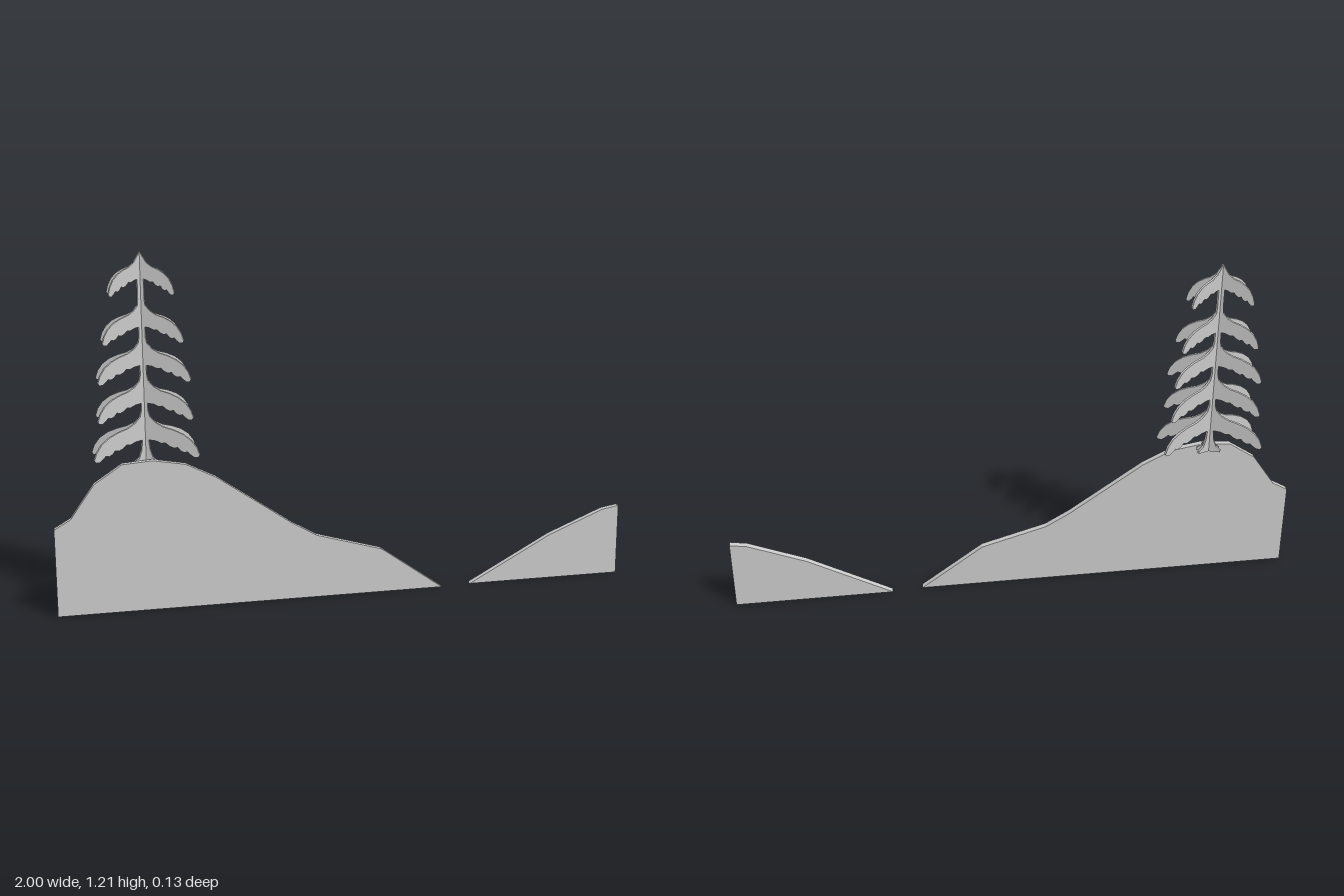
import * as THREE from 'three';

const material = new THREE.MeshStandardMaterial({ color: 0xcccccc, flatShading: true });

// Flat cut-out panel between two z planes
function panel(name, points, z0, z1) {
  const shape = new THREE.Shape(points.map(([x, y]) => new THREE.Vector2(x, y)));
  const geometry = new THREE.ExtrudeGeometry(shape, { depth: z1 - z0, bevelEnabled: false });
  geometry.translate(0, 0, z0);
  const mesh = new THREE.Mesh(geometry, material);
  mesh.name = name;
  return mesh;
}

// Drooping bough with a scalloped underside: x as fraction of reach, y as fraction of drop
const bough = [
  [0.1, -0.14], [0.2, -0.26], [0.34, -0.35], [0.52, -0.41], [0.7, -0.5], [0.85, -0.63],
  [0.95, -0.79], [1, -0.95], [0.97, -1], [0.9, -1], [0.83, -0.94], [0.78, -0.88],
  [0.72, -0.9], [0.65, -0.86], [0.6, -0.79], [0.53, -0.81], [0.45, -0.77], [0.38, -0.7],
  [0.3, -0.71], [0.2, -0.66],
];

// Tiers from the top: [top y, tip y, reach along the blade]
const tiers = [
  [1.21, 1.07, 0.113],
  [1.055, 0.913, 0.14],
  [0.93, 0.785, 0.161],
  [0.805, 0.657, 0.166],
  [0.685, 0.53, 0.184],
];

// Full symmetric silhouette of one tree blade
function treeOutline() {
  const trunk = 0.012;
  const right = [];
  tiers.forEach(([top, tip, reach], i) => {
    const drop = top - tip;
    if (i > 0) right.push([trunk, top]);
    bough.forEach(([u, v]) => right.push([Math.max(u * reach, trunk), top + v * drop]));
    right.push([trunk, top - 0.64 * drop]);
  });
  right.push([0.016, 0.55], [0.025, 0.525], [0.042, 0.51], [0.042, 0.502]);
  const left = right.map(([x, y]) => [-x, y]).reverse();
  return [[0, tiers[0][0]], ...right, ...left];
}

export function createModel() {
  const model = new THREE.Group();

  // Hills
  model.add(panel('largeHill', [
    [-1, 0], [0.335, 0], [0.115, 0.157], [-0.115, 0.223], [-0.2, 0.272], [-0.46, 0.452],
    [-0.56, 0.502], [-0.67, 0.521], [-0.77, 0.513], [-0.865, 0.45], [-0.945, 0.335], [-1, 0.303],
  ], 0.013, 0.035));
  model.add(panel('smallHill', [
    [0.443, 0], [1, 0], [1, 0.254], [0.94, 0.244], [0.74, 0.162],
  ], 0.003, 0.025));

  // Tree made of two crossed blades
  const tree = new THREE.Group();
  tree.name = 'tree';
  const outline = treeOutline();
  for (const side of [-1, 1]) {
    const blade = panel('treeBlade', outline, -0.0045, 0.0045);
    blade.rotation.y = side * 0.345;
    tree.add(blade);
  }
  tree.position.set(-0.688, 0, -0.003);
  model.add(tree);

  return model;
}
